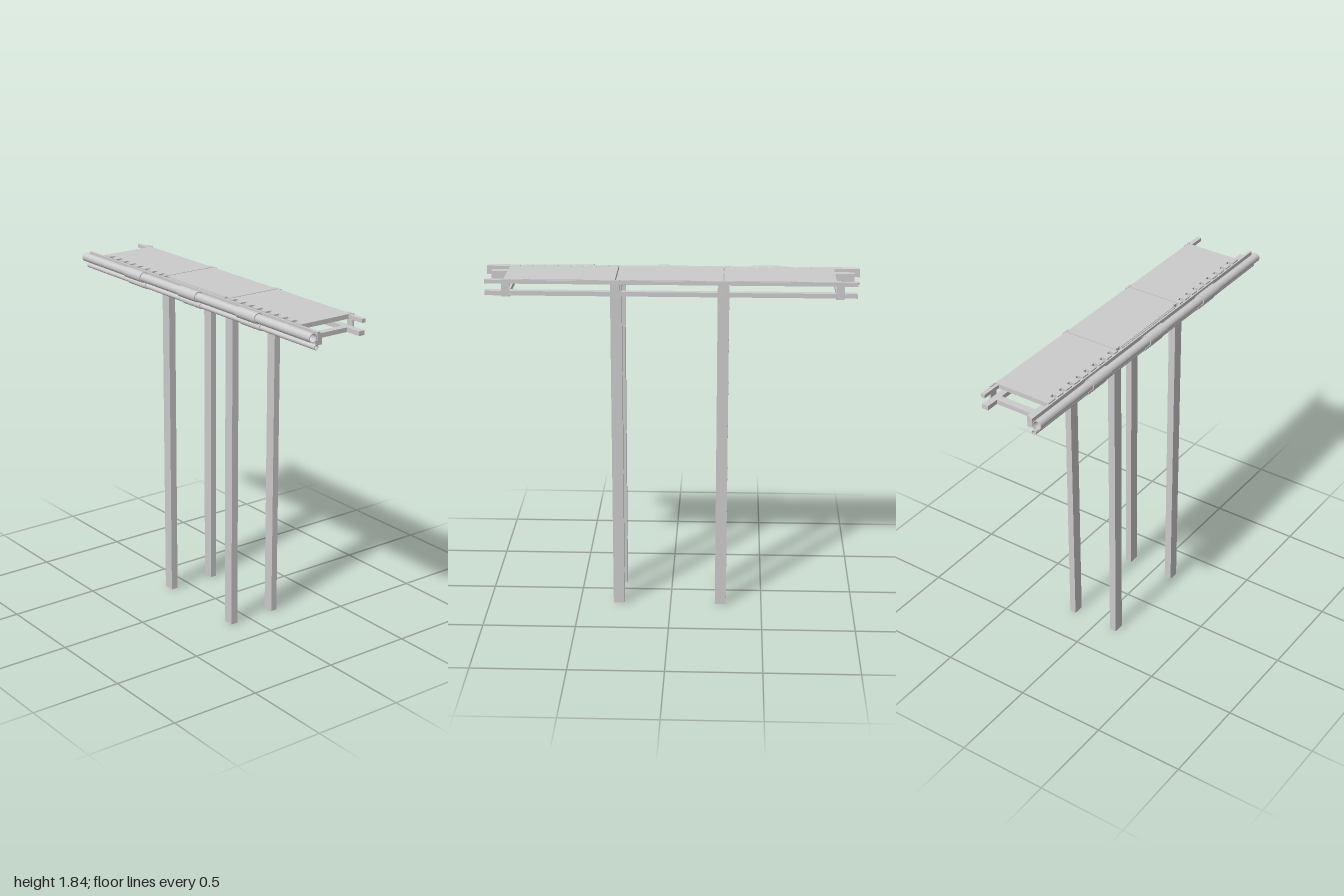
import * as THREE from 'three';

const material = new THREE.MeshStandardMaterial({ color: 0xcccccc, flatShading: true });
const smooth = new THREE.MeshStandardMaterial({ color: 0xcccccc, side: THREE.DoubleSide });

export function createModel() {
  const group = new THREE.Group();

  const add = (name, geometry, mat = material) => {
    const mesh = new THREE.Mesh(geometry, mat);
    mesh.name = name;
    group.add(mesh);
    return mesh;
  };
  // Box given by its limits on each axis
  const box = (name, x0, x1, y0, y1, z0, z1) =>
    add(name, new THREE.BoxGeometry(x1 - x0, y1 - y0, z1 - z0))
      .position.set((x0 + x1) / 2, (y0 + y1) / 2, (z0 + z1) / 2);

  // Hollow tube along x with flat ring ends
  const pipe = (name, x, length, y, z, outer, inner) => {
    const shape = new THREE.Shape().absarc(0, 0, outer, 0, Math.PI * 2);
    shape.holes.push(new THREE.Path().absarc(0, 0, inner, 0, Math.PI * 2, true));
    const geometry = new THREE.ExtrudeGeometry(shape, { depth: length, bevelEnabled: false, curveSegments: 24 });
    geometry.translate(0, 0, -length / 2).rotateY(Math.PI / 2);
    add(name, geometry, smooth).position.set(x, y, z);
  };

  // Four tall legs with a strut between each pair
  for (const x of [-0.275, 0.285]) {
    box('frontLeg', x - 0.03, x + 0.03, 0, 1.79, 0.087, 0.127);
    box('backLeg', x - 0.03, x + 0.03, 0, 1.812, -0.188, -0.152);
    box('crossStrut', x - 0.02, x + 0.02, 1.75, 1.773, -0.152, 0.087);
    box('railBracket', x - 0.022, x + 0.022, 1.745, 1.838, -0.198, -0.188);
  }

  // Long rails
  box('frontBeam', -0.97, 0.97, 1.752, 1.812, 0.085, 0.125);
  box('upperBackRail', -0.97, 0.97, 1.814, 1.834, -0.194, -0.17);
  box('lowerBackRail', -0.97, 0.97, 1.75, 1.774, -0.19, -0.154);
  box('pipePlate', -1, 1, 1.785, 1.83, 0.125, 0.139);

  // End struts and brackets between the back rails
  for (const x of [-0.88, 0.86]) {
    box('endStrut', x - 0.02, x + 0.02, 1.75, 1.774, -0.154, 0.087);
    box('endBracket', x - 0.022, x + 0.022, 1.745, 1.838, -0.198, -0.188);
  }

  // Three deck panels; outer ones have a notched front edge
  const top = 1.837, thickness = 0.024, pitch = 0.068;
  const panel = (name, points) => {
    const shape = new THREE.Shape(points.map(([x, z]) => new THREE.Vector2(x, -z)));
    const geometry = new THREE.ExtrudeGeometry(shape, { depth: thickness, bevelEnabled: false });
    geometry.rotateX(-Math.PI / 2);
    add(name, geometry).position.y = top - thickness;
  };
  const back = -0.188, front = 0.131, notch = 0.1;
  const toothed = (x0, x1, firstNotch, count) => {
    const points = [[x0, back], [x0, front]];
    for (let i = 0; i < count; i++) {
      const x = firstNotch + i * pitch;
      points.push([x - 0.011, front], [x - 0.011, notch], [x + 0.011, notch], [x + 0.011, front]);
    }
    points.push([x1, front], [x1, back]);
    panel('outerDeckPanel', points);
    // Clamp blocks beneath the deck teeth
    for (let i = 0; i < count - 1; i++) {
      const x = firstNotch + (i + 0.5) * pitch;
      box('clampBlock', x - 0.022, x + 0.022, 1.79, 1.815, 0.07, 0.127);
    }
  };
  toothed(-0.86, -0.279, -0.794, 8);
  toothed(0.289, 0.87, 0.329, 8);
  panel('centreDeckPanel', [[-0.273, back], [-0.273, 0.115], [-0.24, 0.115], [-0.24, 0.122],
    [0.25, 0.122], [0.25, 0.115], [0.283, 0.115], [0.283, back]]);
  box('deckCurb', -0.24, 0.25, 1.81, 1.834, 0.118, 0.13);

  // Two front pipes with sleeves
  pipe('largePipe', 0, 2, 1.804, 0.167, 0.024, 0.02);
  pipe('smallPipe', 0, 2, 1.754, 0.146, 0.0135, 0.01);
  for (const x of [-0.5, 0, 0.5]) {
    pipe('largePipeSleeve', x, 0.155, 1.804, 0.167, 0.029, 0.023);
    pipe('smallPipeSleeve', x, 0.155, 1.754, 0.146, 0.017, 0.013);
  }
  return group;
}
